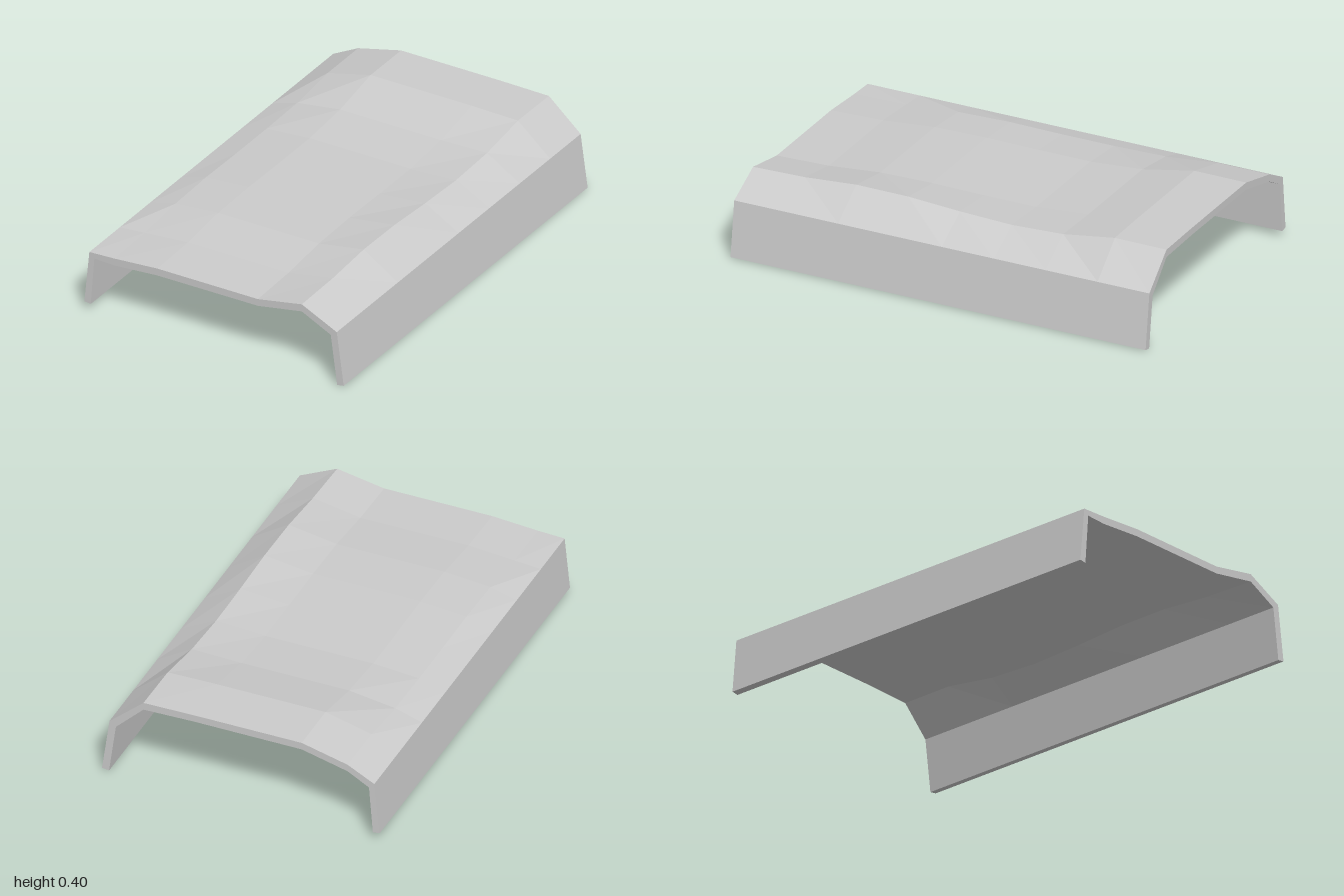
import * as THREE from 'three';

// Cross-section columns, left edge to right edge: outer x, outer y, offset to the inner skin
const SECTION = [
  [-0.65, 0.035, 0.032, -0.004],
  [-0.625, 0.285, 0.025, -0.025],
  [-0.5, 0, 0, -0.034],
  [-0.285, 0, 0, -0.034],
  [0.22, 0, 0, -0.033],
  [0.44, 0, 0, -0.035],
  [0.615, 0.26, -0.03, -0.022],
  [0.65, 0.006, -0.033, -0.005],
];

// Heights of the wavy deck from front to back: shoulder, middle, ridge
const WAVE = [
  [0.29, 0.305, 0.345],
  [0.295, 0.312, 0.352],
  [0.316, 0.335, 0.372],
  [0.323, 0.34, 0.372],
  [0.32, 0.337, 0.358],
  [0.32, 0.337, 0.35],
  [0.325, 0.356, 0.362],
  [0.35, 0.404, 0.4],
  [0.35, 0.403, 0.4],
];
const WAVE_COLUMN = { 2: 0, 3: 1, 4: 1, 5: 2 };

// One closed ring: outer skin left to right, then inner skin back again
function ring(station) {
  const t = station / (WAVE.length - 1);
  const z = 1 - 2 * t;
  const outer = [], inner = [];
  SECTION.forEach(([x, y, dx, dy], i) => {
    const px = i === 5 ? x + 0.016 * t : x;
    const py = i in WAVE_COLUMN ? WAVE[station][WAVE_COLUMN[i]] : y;
    outer.push([px, py, z]);
    inner.unshift([px + dx, py + dy, z]);
  });
  return [...outer, ...inner];
}

export function createModel() {
  const group = new THREE.Group();
  group.name = 'cover';

  const rings = WAVE.map((_, s) => ring(s));
  const n = rings[0].length;
  const positions = rings.flat(2);
  const index = [];
  const quad = (a, b, c, d) => index.push(a, b, c, a, c, d);

  // Skins and bottom rims
  for (let s = 0; s < rings.length - 1; s++) {
    for (let i = 0; i < n; i++) {
      const j = (i + 1) % n;
      quad(s * n + i, s * n + j, (s + 1) * n + j, (s + 1) * n + i);
    }
  }

  // Front and back edges
  const back = (rings.length - 1) * n;
  for (let i = 0; i < SECTION.length - 1; i++) {
    const inA = n - 1 - i, inB = n - 2 - i;
    quad(i, inA, inB, i + 1);
    quad(back + i, back + i + 1, back + inB, back + inA);
  }

  const geometry = new THREE.BufferGeometry();
  geometry.setAttribute('position', new THREE.Float32BufferAttribute(positions, 3));
  geometry.setIndex(index);
  const flat = geometry.toNonIndexed();
  flat.computeVertexNormals();

  const shell = new THREE.Mesh(
    flat,
    new THREE.MeshStandardMaterial({ color: 0xcccccc, flatShading: true })
  );
  shell.name = 'bentShell';
  group.add(shell);
  return group;
}
